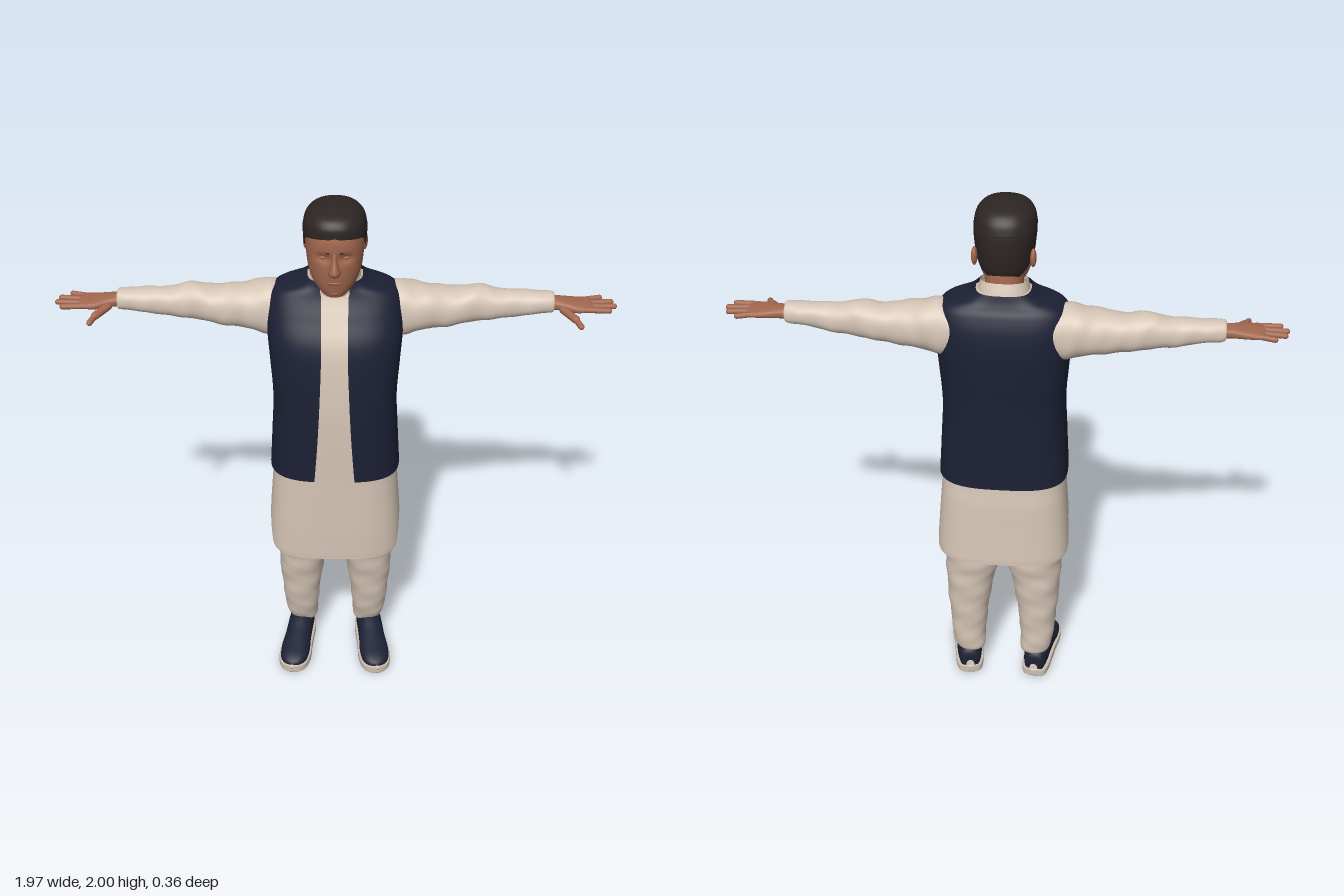
import * as THREE from 'three';
import { mergeVertices } from 'three/addons/utils/BufferGeometryUtils.js';

const TAU = Math.PI * 2;
const rad = THREE.MathUtils.degToRad;

const material = (name, color, side = THREE.FrontSide) =>
  new THREE.MeshStandardMaterial({ name, color, side });

// Smooth value between four neighbouring rows
function spline(a, b, c, d, t) {
  return b + 0.5 * t * (c - a + t * (2 * a - 5 * b + 4 * c - d + t * (3 * (b - c) + d - a)));
}

// Lofted superellipse. Row: [y, centreX, radiusX, frontZ, backZ, startAngle, endAngle]
// Angle 0 faces +z and grows towards +x.
function shell(rows, { n = 2.3, seg = 48, steps = 6, ripple = 0 } = {}) {
  const full = rows.map(r => [...r.slice(0, 5), r[5] ?? 0, r[6] ?? TAU]);
  const at = i => full[Math.min(Math.max(i, 0), full.length - 1)];
  const pos = [], index = [];
  const count = (full.length - 1) * steps;
  for (let i = 0; i <= count; i++) {
    const k = Math.min(Math.floor(i / steps), full.length - 2), f = i / steps - k;
    const [y, cx, rx, zf, zb, t0, t1] = at(k).map((v, c) =>
      steps === 1 ? THREE.MathUtils.lerp(v, at(k + 1)[c], f)
        : spline(at(k - 1)[c], v, at(k + 1)[c], at(k + 2)[c], f));
    const rz = Math.max((zf - zb) / 2, 0.0005), r = Math.max(rx, 0.0005);
    for (let j = 0; j <= seg; j++) {
      const t = t0 + (t1 - t0) * j / seg, s = Math.sin(t), c = Math.cos(t);
      const w = 1 + ripple * (Math.sin(2 * t + 47 * y) + 0.7 * Math.sin(3 * t - 83 * y));
      pos.push(cx + r * w * Math.sign(s) * Math.abs(s) ** (2 / n), y,
        (zf + zb) / 2 + rz * w * Math.sign(c) * Math.abs(c) ** (2 / n));
      if (i < count && j < seg) {
        const a = i * (seg + 1) + j, b = a + seg + 1;
        index.push(a, a + 1, b, a + 1, b + 1, b);
      }
    }
  }
  let g = new THREE.BufferGeometry();
  g.setAttribute('position', new THREE.Float32BufferAttribute(pos, 3));
  g.setIndex(index);
  g = mergeVertices(g, 1e-5);
  g.computeVertexNormals();
  return g;
}

// Reflected copy across x with its winding kept outward
function mirrored(geometry) {
  const g = geometry.clone().applyMatrix4(new THREE.Matrix4().makeScale(-1, 1, 1));
  const ix = g.index;
  for (let i = 0; i < ix.count; i += 3) {
    const a = ix.getX(i);
    ix.setX(i, ix.getX(i + 1));
    ix.setX(i + 1, a);
  }
  return g;
}

function ball(x, y, z, rx, ry, rz) {
  return new THREE.SphereGeometry(1, 20, 14).scale(rx, ry, rz).translate(x, y, z);
}

// Rounded rod between two points
function rod(a, b, r) {
  const p = new THREE.Vector3(...a), q = new THREE.Vector3(...b), d = q.clone().sub(p);
  const turn = new THREE.Quaternion().setFromUnitVectors(new THREE.Vector3(0, 1, 0), d.clone().normalize());
  return new THREE.CapsuleGeometry(r, d.length(), 6, 12).applyQuaternion(turn)
    .translate(...p.add(q).multiplyScalar(0.5).toArray());
}

export function createModel() {
  const cream = material('cream cloth', 0xd6c6b6, THREE.DoubleSide);
  const navy = material('navy cloth', 0x1c2034, THREE.DoubleSide);
  const hairMat = material('dark hair', 0x2c2523, THREE.DoubleSide);
  const skin = material('skin', 0xa3684f);
  const lipMat = material('lips', 0x8f5645);
  const soleMat = material('sole', 0xcdbfb0);

  const group = new THREE.Group();
  const add = (name, geometry, mat) => {
    const mesh = new THREE.Mesh(geometry, mat);
    mesh.name = name;
    group.add(mesh);
  };
  const pair = (name, geometry, mat) => {
    add(name + 'Left', geometry, mat);
    add(name + 'Right', mirrored(geometry), mat);
  };

  // Waistcoat, open down the front: [y, radiusX, frontZ, backZ, half opening]
  const coat = [
    [0.945, 0.238, 0.174, -0.172, 0.073], [1.1, 0.229, 0.179, -0.166, 0.062],
    [1.25, 0.222, 0.18, -0.163, 0.054], [1.4, 0.231, 0.17, -0.168, 0.048],
    [1.5, 0.238, 0.152, -0.17, 0.046], [1.58, 0.236, 0.112, -0.16, 0.046],
    [1.635, 0.224, 0.082, -0.142, 0.047], [1.662, 0.194, 0.07, -0.127, 0.048],
    [1.685, 0.13, 0.064, -0.116, 0.05], [1.708, 0.096, 0.062, -0.108, 0.052],
  ];
  add('waistcoat', shell(coat.map(([y, rx, zf, zb, gap]) => {
    const t = Math.asin((gap / rx) ** 1.5);
    return [y, 0, rx, zf, zb, t, TAU - t];
  }), { n: 3, seg: 72 }), navy);

  // Long shirt under the waistcoat
  add('shirtBody', shell([
    [0.77, 0, 0.241, 0.161, -0.173], [0.86, 0, 0.234, 0.162, -0.169],
    ...coat.map(([y, rx, zf, zb]) => [y - 0.005, 0, rx - 0.011, zf - 0.011, zb + 0.011]),
  ], { n: 3, seg: 72 }), cream);

  // Shirt tails with rounded corners and side slits: [y, radiusX, frontZ, backZ, edge angle]
  const frontTail = [
    [0.57, 0.248, 0.156, -0.176, 42], [0.575, 0.249, 0.156, -0.176, 55], [0.592, 0.25, 0.157, -0.177, 65],
    [0.63, 0.249, 0.158, -0.177, 71], [0.7, 0.246, 0.16, -0.175, 80], [0.77, 0.241, 0.161, -0.173, 90],
  ];
  const backTail = [
    [0.6, 0.25, 0.156, -0.18, 130], [0.605, 0.251, 0.156, -0.18, 115], [0.622, 0.251, 0.157, -0.18, 102],
    [0.66, 0.249, 0.158, -0.178, 95], [0.77, 0.241, 0.161, -0.173, 90],
  ];
  add('shirtFrontTail', shell(frontTail.map(([y, rx, zf, zb, a]) =>
    [y, 0, rx, zf, zb, -rad(a), rad(a)]), { n: 3 }), cream);
  add('shirtBackTail', shell(backTail.map(([y, rx, zf, zb, a]) =>
    [y, 0, rx, zf, zb, rad(a), TAU - rad(a)]), { n: 3 }), cream);

  // Stand collar, tilted up at the back
  add('collar', shell([
    [-0.035, 0, 0.094, 0.088, -0.088, 0.2, TAU - 0.2], [0, 0, 0.09, 0.086, -0.084, 0.22, TAU - 0.22],
    [0.035, 0, 0.083, 0.082, -0.078, 0.36, TAU - 0.36],
  ]).rotateX(0.22).translate(0, 1.693, -0.018), cream);

  // Sleeves, lofted along y and laid over to +x
  const lay = g => g.rotateZ(-Math.PI / 2);
  pair('sleeve', lay(shell([
    [0.15, -1.555, 0.09, 0.035, -0.135], [0.23, -1.556, 0.097, 0.04, -0.139],
    [0.31, -1.56, 0.081, 0.032, -0.131], [0.41, -1.56, 0.068, 0.018, -0.122],
    [0.5, -1.573, 0.064, 0.006, -0.115], [0.58, -1.57, 0.052, -0.001, -0.105],
    [0.68, -1.578, 0.042, -0.004, -0.094], [0.755, -1.581, 0.036, -0.007, -0.086],
    [0.765, -1.581, 0.024, -0.015, -0.078],
  ], { ripple: 0.022 })), cream);

  // Hands
  pair('palm', lay(shell([
    [0.74, -1.58, 0.022, -0.016, -0.078], [0.79, -1.579, 0.02, -0.006, -0.077],
    [0.84, -1.576, 0.017, 0.012, -0.081], [0.88, -1.576, 0.013, 0.013, -0.085],
    [0.896, -1.576, 0.009, 0.01, -0.082], [0.902, -1.576, 0.001, -0.02, -0.05],
  ], { n: 2.6, seg: 28 })), skin);
  [[0.004, 0.007, 0.953], [-0.021, -0.026, 0.974], [-0.047, -0.058, 0.966], [-0.071, -0.088, 0.93]]
    .forEach(([z0, z1, x], i) =>
      pair('finger' + (i + 1), rod([0.87, 1.577, z0], [x, 1.576, z1], 0.0098), skin));
  pair('thumbBase', rod([0.795, 1.57, -0.01], [0.835, 1.56, 0.042], 0.014), skin);
  pair('thumbTip', rod([0.835, 1.56, 0.042], [0.85, 1.552, 0.077], 0.0105), skin);

  // Trousers
  pair('trouserLeg', shell([
    [0.1, 0.126, 0.046, -0.026, -0.11], [0.115, 0.128, 0.056, -0.02, -0.122],
    [0.16, 0.134, 0.064, -0.002, -0.126], [0.24, 0.135, 0.07, 0.02, -0.13],
    [0.36, 0.133, 0.082, 0.04, -0.138], [0.48, 0.125, 0.096, 0.062, -0.146],
    [0.58, 0.115, 0.108, 0.08, -0.152], [0.74, 0.108, 0.112, 0.1, -0.15],
    [0.82, 0.105, 0.1, 0.09, -0.14],
  ], { ripple: 0.018 }), cream);

  // Shoes, lofted from heel to toe: [z, half width, top]
  const shoe = [
    [-0.13, 0.016, 0.06], [-0.12, 0.038, 0.1], [-0.08, 0.048, 0.124], [-0.03, 0.05, 0.122],
    [0.03, 0.052, 0.1], [0.09, 0.057, 0.08], [0.14, 0.051, 0.064], [0.168, 0.032, 0.05], [0.178, 0.008, 0.038],
  ];
  const place = g => g.rotateX(Math.PI / 2).translate(0, 0, -0.02).rotateY(0.14).translate(0.148, 0, 0.02);
  pair('shoeUpper', place(shell(shoe.map(([z, w, top]) => [z, 0, w, -0.012, -top]), { seg: 32 })), navy);
  const sole = shoe.map(([z, w]) => [z * 1.02, 0, w + 0.006, 0, -0.034]);
  const tip = (r, z) => [z, 0, 0.0005, -0.01, -0.024];
  pair('shoeSole', place(shell([tip(sole[0], -0.136), ...sole, tip(sole[8], 0.185)],
    { n: 7, seg: 40, steps: 3 })), soleMat);

  // Neck and head
  add('neck', shell([
    [1.6, 0, 0.072, 0.05, -0.095], [1.7, 0, 0.067, 0.068, -0.085], [1.8, 0, 0.07, 0.07, -0.075],
  ]), skin);
  const head = shell([
    [1.678, 0, 0.002, 0.09, 0.08], [1.684, 0, 0.032, 0.12, 0.035], [1.7, 0, 0.053, 0.13, -0.005],
    [1.73, 0, 0.076, 0.138, -0.045], [1.77, 0, 0.09, 0.145, -0.066], [1.82, 0, 0.097, 0.15, -0.076],
    [1.87, 0, 0.1, 0.153, -0.08], [1.92, 0, 0.096, 0.148, -0.074], [1.96, 0, 0.076, 0.122, -0.05],
    [1.985, 0, 0.03, 0.07, 0], [1.988, 0, 0.001, 0.036, 0.034],
  ], { seg: 64 });
  // Press in the eye sockets
  const p = head.attributes.position;
  for (let i = 0; i < p.count; i++) {
    if (p.getZ(i) < 0.06) continue;
    const dx = (Math.abs(p.getX(i)) - 0.037) / 0.024, dy = (p.getY(i) - 1.843) / 0.016;
    p.setZ(i, p.getZ(i) - 0.014 * Math.exp(-dx * dx - dy * dy));
  }
  head.computeVertexNormals();
  add('head', head, skin);
  add('nose', shell([
    [1.779, 0, 0.002, 0.15, 0.13], [1.784, 0, 0.019, 0.168, 0.11], [1.797, 0, 0.021, 0.181, 0.11],
    [1.812, 0, 0.016, 0.178, 0.11], [1.84, 0, 0.011, 0.163, 0.11], [1.868, 0, 0.012, 0.152, 0.11],
  ], { n: 2, seg: 24 }), skin);
  add('mouth', ball(0, 1.748, 0.137, 0.028, 0.007, 0.009), lipMat);
  add('chin', ball(0, 1.706, 0.112, 0.028, 0.018, 0.022), skin);
  pair('eyelid', ball(0.037, 1.842, 0.125, 0.016, 0.009, 0.012), skin);
  pair('eyebrow', rod([0.02, 1.866, 0.148], [0.054, 1.866, 0.13], 0.0045), hairMat);
  pair('ear', ball(0.1, 1.823, 0.0, 0.011, 0.034, 0.021).rotateX(-0.02), skin);

  // Hair, wrapping the back and rising over the forehead; last number is the face opening
  add('hair', shell([
    [1.755, 0, 0.078, 0.1, -0.072, 142], [1.785, 0, 0.093, 0.13, -0.083, 124],
    [1.82, 0, 0.101, 0.148, -0.089, 108], [1.85, 0, 0.104, 0.154, -0.092, 82],
    [1.88, 0, 0.107, 0.158, -0.093, 68], [1.905, 0, 0.108, 0.16, -0.092, 56],
    [1.918, 0, 0.108, 0.162, -0.09, 24], [1.925, 0, 0.107, 0.162, -0.089, 0],
    [1.955, 0, 0.1, 0.158, -0.078, 0], [1.98, 0, 0.079, 0.135, -0.053, 0],
    [1.995, 0, 0.042, 0.085, -0.012, 0], [2.0, 0, 0.001, 0.036, 0.034, 0],
  ].map(r => {
    const a = rad(r[5]);
    return [...r.slice(0, 5), a, TAU - a];
  }), { seg: 64 }), hairMat);

  return group;
}
